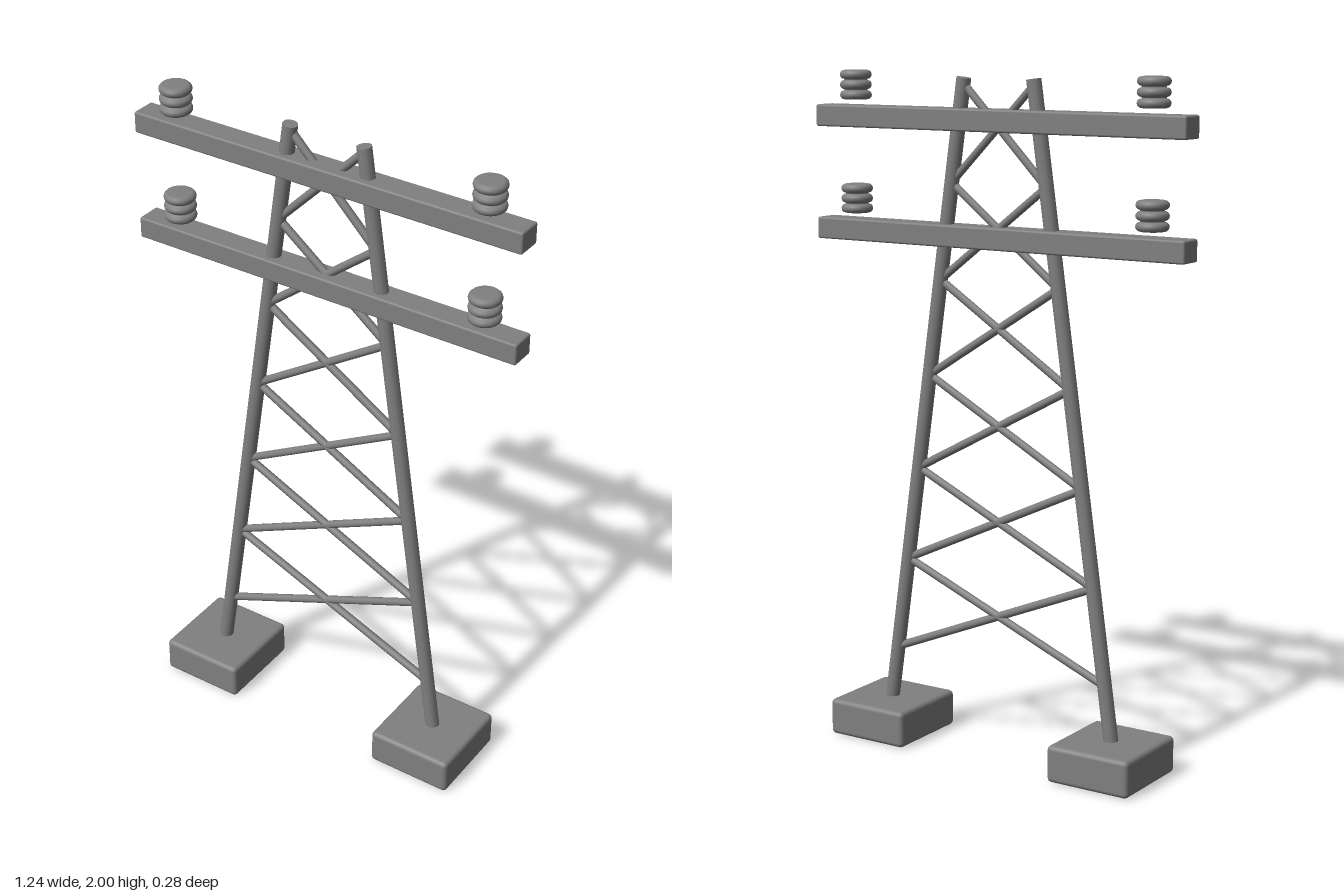
import * as THREE from 'three';
import { RoundedBoxGeometry } from 'three/addons/geometries/RoundedBoxGeometry.js';

export function createModel() {
  const group = new THREE.Group();
  group.name = 'utilityTower';
  const steel = new THREE.MeshStandardMaterial({ color: 0x808080 });
  steel.name = 'greySteel';

  function add(name, geometry, x = 0, y = 0, z = 0) {
    const mesh = new THREE.Mesh(geometry, steel);
    mesh.name = name;
    mesh.position.set(x, y, z);
    group.add(mesh);
    return mesh;
  }

  // Round bar between two points
  function bar(name, a, b, radius, sides) {
    const dir = b.clone().sub(a);
    const mesh = add(name, new THREE.CylinderGeometry(radius, radius, dir.length(), sides));
    mesh.position.copy(a).add(b).multiplyScalar(0.5);
    mesh.quaternion.setFromUnitVectors(new THREE.Vector3(0, 1, 0), dir.normalize());
  }

  // Point on the centre line of a leaning leg
  const legPoint = (side, y) =>
    new THREE.Vector3(side * (0.386 - (y - 0.115) * 0.1437), y, 0);

  // Footings and legs
  for (const side of [-1, 1]) {
    const label = side > 0 ? 'left' : 'right';
    add(label + 'Footing', new RoundedBoxGeometry(0.266, 0.11, 0.28, 3, 0.014), side * 0.387, 0.057, 0);
    bar(label + 'Leg', legPoint(side, 0.08), legPoint(side, 1.985), 0.022, 10);
  }

  // Crossed braces in six bays
  const bay = 0.2833;
  for (let i = 0; i < 6; i++) {
    const y = 0.27 + i * bay;
    for (const side of [-1, 1]) {
      bar('brace', legPoint(side, y), legPoint(-side, y + bay), 0.012, 8);
    }
  }

  // Insulator: three stacked discs with rounded rims on a core
  const pitch = 0.0295, half = 0.013, rim = 0.047;
  const profile = [new THREE.Vector2(0, 0)];
  for (let d = 0; d < 3; d++) {
    for (let k = 0; k <= 6; k++) {
      const a = -Math.PI / 2 + (k / 6) * Math.PI;
      profile.push(new THREE.Vector2(rim - half + half * Math.cos(a), d * pitch + half + half * Math.sin(a)));
    }
  }
  profile.push(new THREE.Vector2(0, 2 * pitch + 2 * half));
  const insulator = new THREE.LatheGeometry(profile, 24);

  // Crossarms, each carrying two insulators
  for (const y of [1.535, 1.867]) {
    add('crossarm', new RoundedBoxGeometry(1.24, 0.064, 0.078, 2, 0.006), 0, y, 0);
    for (const x of [-0.5, 0.5]) add('insulator', insulator, x, y + 0.048, 0);
  }

  return group;
}
